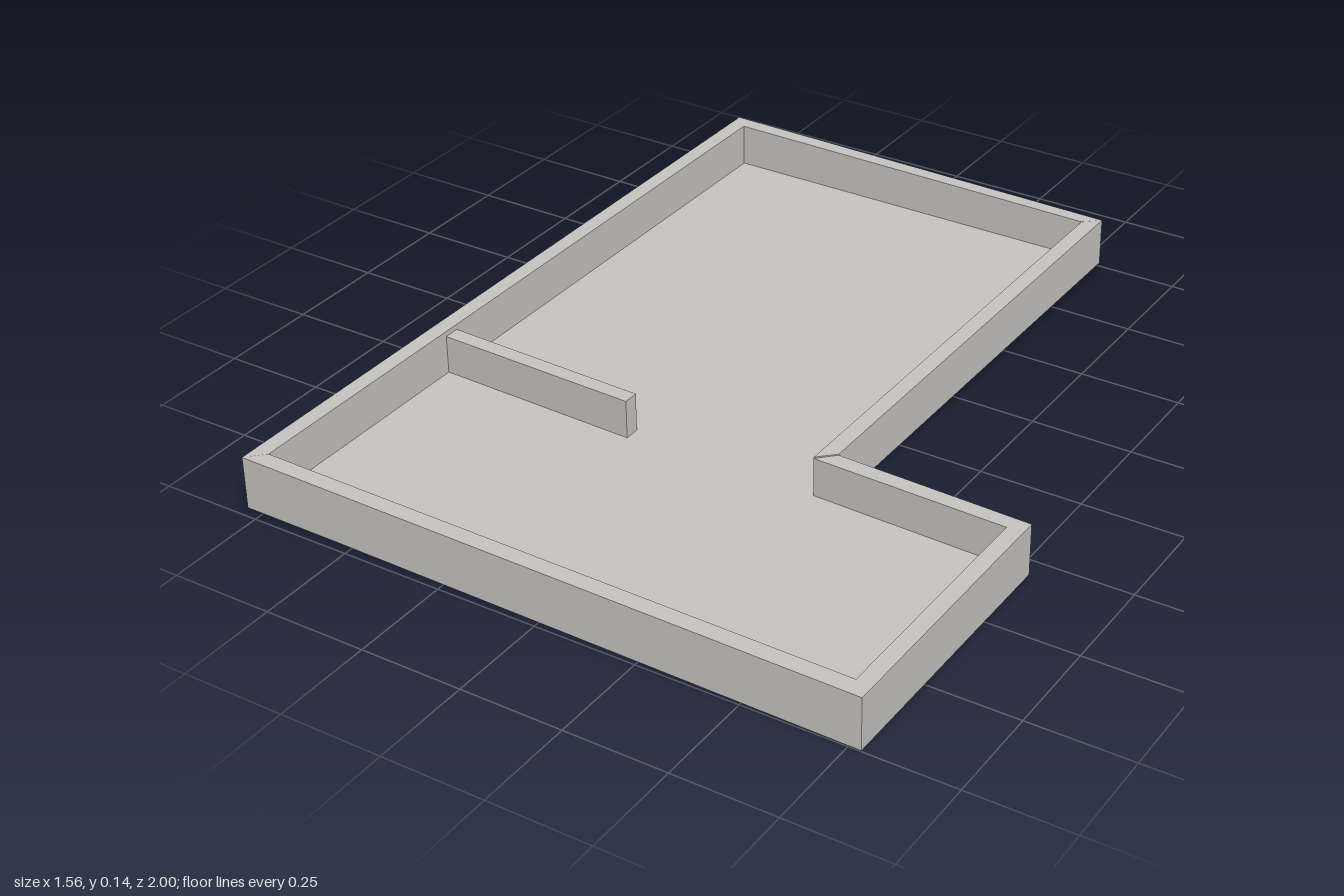
import * as THREE from 'three';

const plaster = new THREE.MeshStandardMaterial({ color: 0xc8c6c3 });
plaster.name = 'pale grey plaster';

// Upright prism over a plan of [x, z] points; bottom and top are heights given by x
function prism(name, plan, bottom, top) {
  const shape = new THREE.Shape(plan.map(([x, z]) => new THREE.Vector2(x, -z)));
  const geo = new THREE.ExtrudeGeometry(shape, { depth: 1, bevelEnabled: false });
  geo.rotateX(-Math.PI / 2);
  const p = geo.attributes.position;
  for (let i = 0; i < p.count; i++) {
    const x = p.getX(i);
    p.setY(i, p.getY(i) > 0.5 ? top(x) : bottom(x));
  }
  geo.computeVertexNormals();
  const mesh = new THREE.Mesh(geo, plaster);
  mesh.name = name;
  return mesh;
}

const level = (y) => () => y;
const slope = (x0, y0, x1, y1) => (x) => y0 + (y1 - y0) * (x - x0) / (x1 - x0);

export function createModel() {
  const model = new THREE.Group();
  model.name = 'roomShell';

  // Outer and inner corners of the L-shaped plan, in matching order
  const outer = [[-0.78, -1], [0.3, -0.995], [0.3, 0.285], [0.78, 0.303], [0.78, 1], [-0.78, 0.988]];
  const inner = [[-0.74, -0.96], [0.26, -0.96], [0.26, 0.325], [0.74, 0.341], [0.74, 0.956], [-0.74, 0.947]];

  // Floor slab
  model.add(prism('floor', outer, level(0.013), level(0.034)));

  // One mitred wall per side, some of them slightly out of level
  const walls = [
    ['backWall', slope(-0.78, 0.015, 0.3, 0.012), slope(-0.78, 0.143, 0.3, 0.133)],
    ['innerSideWall', level(0.012), level(0.133)],
    ['stepWall', level(0.002), level(0.13)],
    ['leftWall', level(0.002), level(0.13)],
    ['frontWall', slope(-0.78, 0.015, 0.78, 0.002), slope(-0.78, 0.143, 0.78, 0.13)],
    ['rightWall', level(0.015), level(0.143)],
  ];
  walls.forEach(([name, bottom, top], i) => {
    const j = (i + 1) % outer.length;
    model.add(prism(name, [outer[i], outer[j], inner[j], inner[i]], bottom, top));
  });

  // Short partition standing off the long wall, its foot just below the floor
  const partition = [[-0.74, 0.285], [-0.22, 0.305], [-0.22, 0.344], [-0.74, 0.325]];
  model.add(prism('partition', partition, level(0), level(0.13)));

  return model;
}
